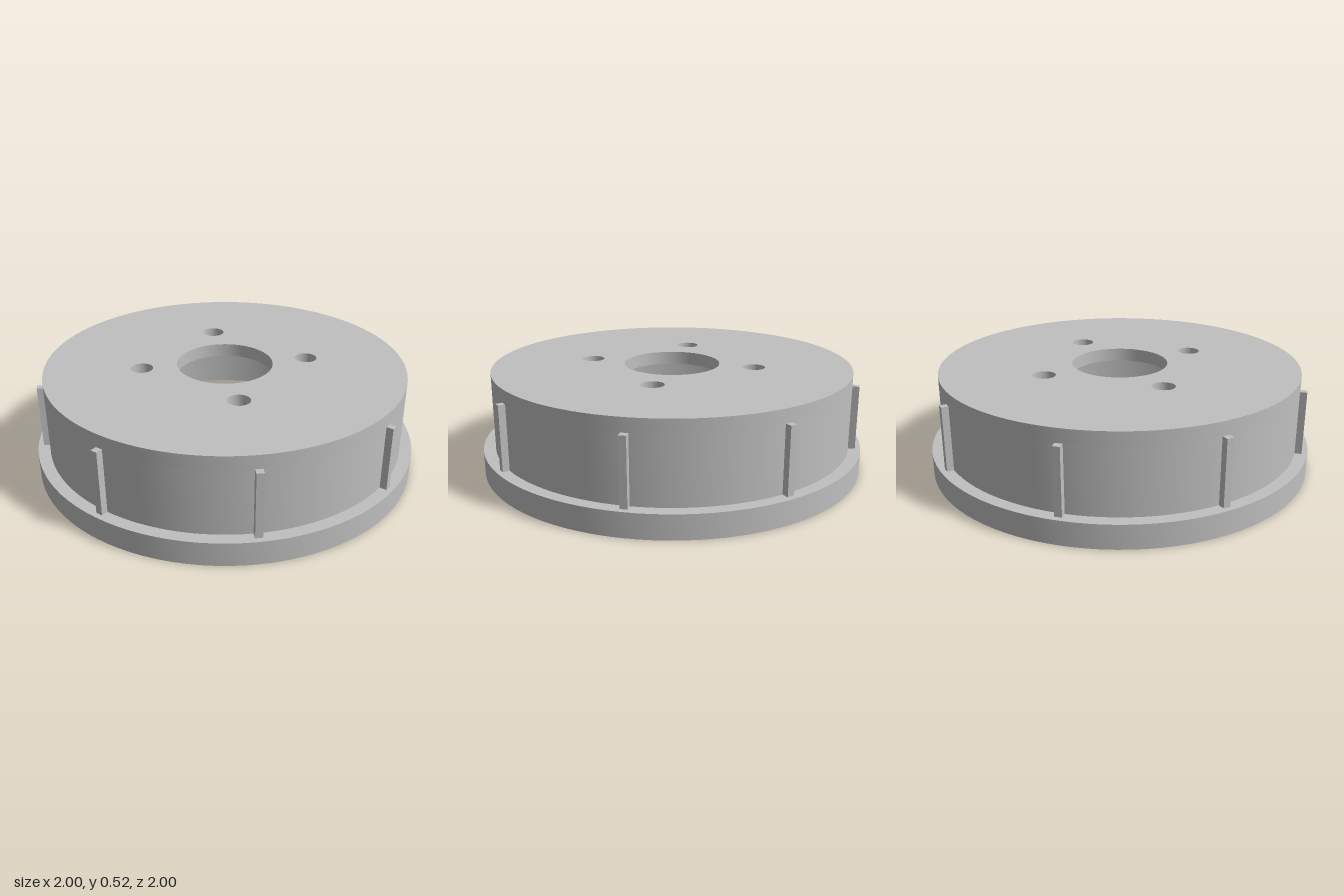
import * as THREE from 'three';
import { toCreasedNormals } from 'three/addons/utils/BufferGeometryUtils.js';

const SEGMENTS = 96;
const R_FLANGE = 1, R_DRUM = 0.9375, R_INNER = 0.883;
const Y_FLANGE = 0.122, Y_PLATE = 0.455, Y_TOP = 0.524;

export function createModel() {
  const group = new THREE.Group();
  const metal = new THREE.MeshStandardMaterial({ color: 0xc0c0c0 });
  metal.name = 'grey metal';

  const add = (name, geometry) => {
    const mesh = new THREE.Mesh(geometry, metal);
    mesh.name = name;
    group.add(mesh);
    return mesh;
  };

  // Hollow drum wall with the wider flange at its open lower end
  const profile = [
    [R_INNER, Y_PLATE], [R_INNER, 0], [R_FLANGE, 0], [R_FLANGE, Y_FLANGE],
    [R_DRUM, Y_FLANGE], [R_DRUM, Y_PLATE],
  ].map(([r, y]) => new THREE.Vector2(r, y));
  add('drumWall', toCreasedNormals(new THREE.LatheGeometry(profile, SEGMENTS), 0.5));

  // Closing plate with the hub bore and four bolt holes
  const plate = new THREE.Shape().absarc(0, 0, R_DRUM, 0, Math.PI * 2);
  const addHole = (x, y, r) =>
    plate.holes.push(new THREE.Path().absarc(x, y, r, 0, Math.PI * 2, true));
  addHole(0, 0, 0.25);
  for (const x of [-0.307, 0.307]) {
    for (const y of [-0.307, 0.307]) addHole(x, y, 0.058);
  }
  const plateGeometry = new THREE.ExtrudeGeometry(plate, {
    depth: Y_TOP - Y_PLATE, bevelEnabled: false, curveSegments: SEGMENTS / 2,
  });
  plateGeometry.rotateX(-Math.PI / 2).translate(0, Y_PLATE, 0);
  add('facePlate', toCreasedNormals(plateGeometry, 0.5));

  // Eight upright ribs around the drum, standing on the flange
  const inner = 0.92, outer = 0.972;
  const ribGeometry = new THREE.BoxGeometry(0.036, Y_PLATE - Y_FLANGE, outer - inner);
  ribGeometry.translate(0, (Y_PLATE + Y_FLANGE) / 2, (inner + outer) / 2);
  for (let i = 0; i < 8; i++) {
    add('rib' + (i + 1), ribGeometry).rotation.y = (i * Math.PI) / 4;
  }

  return group;
}
